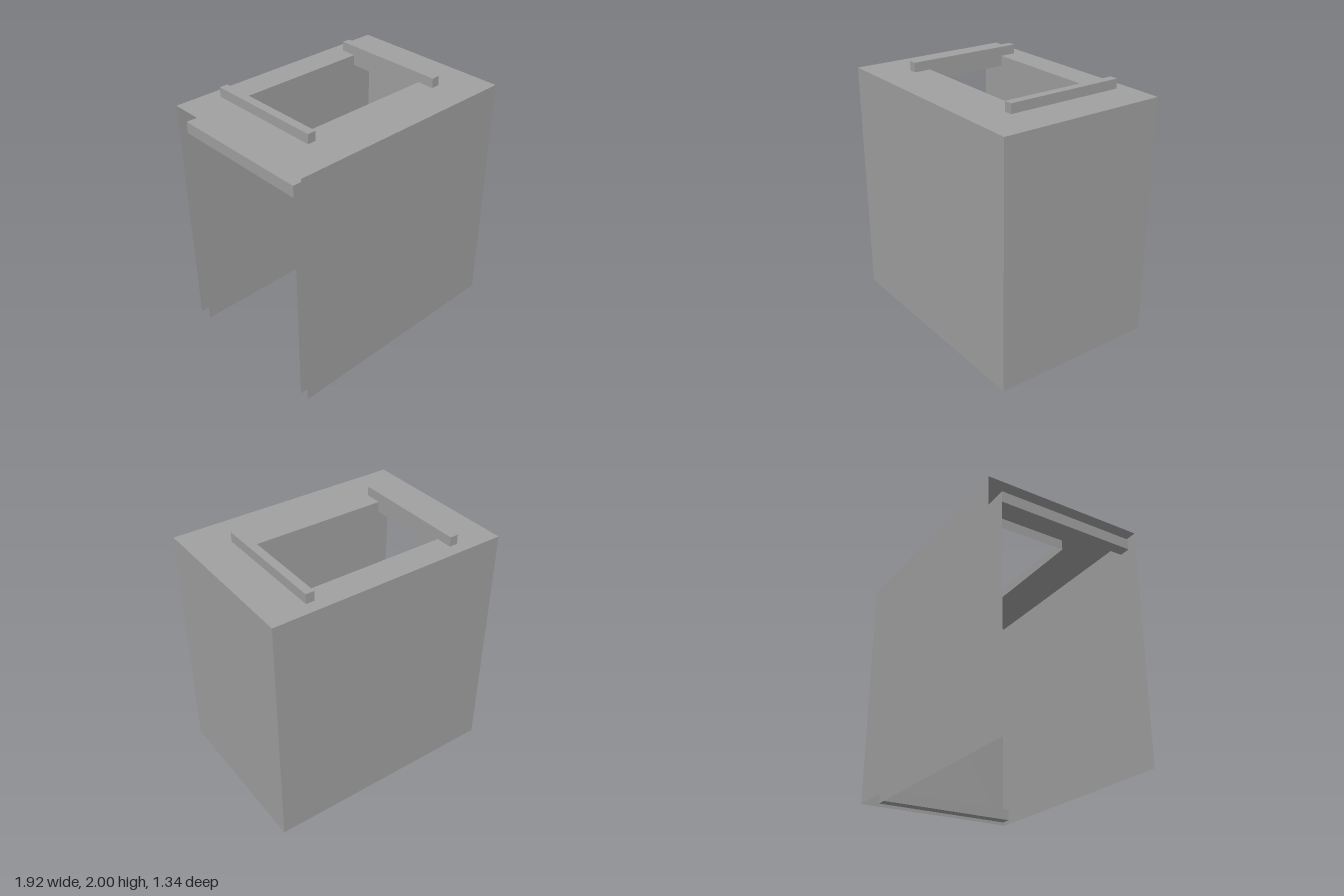
import * as THREE from 'three';

export function createModel() {
  const model = new THREE.Group();
  model.name = 'openCabinet';

  const grey = new THREE.MeshStandardMaterial({ color: 0xa0a0a0, side: THREE.DoubleSide });
  grey.name = 'plain grey';

  const W = 0.96, D = 0.672, H = 1.925;                     // outer half width, half depth, height
  const hole = { x: 0.578, back: -0.445, front: 0.245 };    // opening in the top
  const liner = { right: 0.87, back: -0.56, front: 0.595, top: 1.84 };
  const BAR = 0.09;

  const add = (name, geometry, x, y, z) => {
    const mesh = new THREE.Mesh(geometry, grey);
    mesh.name = name;
    mesh.position.set(x, y, z);
    model.add(mesh);
  };

  // sheet across x at a fixed z
  const sheetZ = (name, x0, x1, y0, y1, z) =>
    add(name, new THREE.PlaneGeometry(x1 - x0, y1 - y0), (x0 + x1) / 2, (y0 + y1) / 2, z);

  // sheet across z at a fixed x
  const sheetX = (name, x, y0, y1, z0, z1) =>
    add(name, new THREE.PlaneGeometry(z1 - z0, y1 - y0).rotateY(Math.PI / 2), x, (y0 + y1) / 2, (z0 + z1) / 2);

  const box = (name, x0, x1, y0, y1, z0, z1) =>
    add(name, new THREE.BoxGeometry(x1 - x0, y1 - y0, z1 - z0), (x0 + x1) / 2, (y0 + y1) / 2, (z0 + z1) / 2);

  const rect = (target, x0, y0, x1, y1) =>
    target.moveTo(x0, y0).lineTo(x1, y0).lineTo(x1, y1).lineTo(x0, y1).closePath();

  // outer shell, open below and at one end
  sheetZ('frontPanel', -W, W, 0, H, D);
  sheetZ('backPanel', -W, W, 0, H, -D);
  sheetX('endPanel', W, 0, H, -D, D);

  // top with rectangular opening
  const top = rect(new THREE.Shape(), -W, -D, W, D);
  top.holes.push(rect(new THREE.Path(), -hole.x, -hole.front, hole.x, -hole.back));
  add('topPanel', new THREE.ShapeGeometry(top).rotateX(-Math.PI / 2), 0, H, 0);

  // lip hanging inside the opening, and the rails on either side of it
  sheetZ('openingLipFront', -hole.x, hole.x, liner.top, H, hole.front);
  sheetZ('openingLipBack', -hole.x, hole.x, liner.top, H, hole.back);
  for (const s of [-1, 1]) {
    sheetX('openingLipSide', s * hole.x, liner.top, H, hole.back, hole.front);
    const inner = s * hole.x, outer = s * 0.645;
    box('topRail', Math.min(inner, outer), Math.max(inner, outer), H, 2, -0.575, 0.382);
  }

  // inner lining sheets
  sheetZ('frontLining', -W, liner.right, 0, liner.top, liner.front);
  sheetZ('backLining', -W, liner.right, 0, liner.top, liner.back);

  // cross bars joining the linings
  box('upperCrossBar', -W, -W + BAR, liner.top - BAR, liner.top, liner.back, liner.front);
  box('lowerCrossBar', liner.right - BAR, liner.right, 0, BAR, liner.back, liner.front);

  return model;
}
